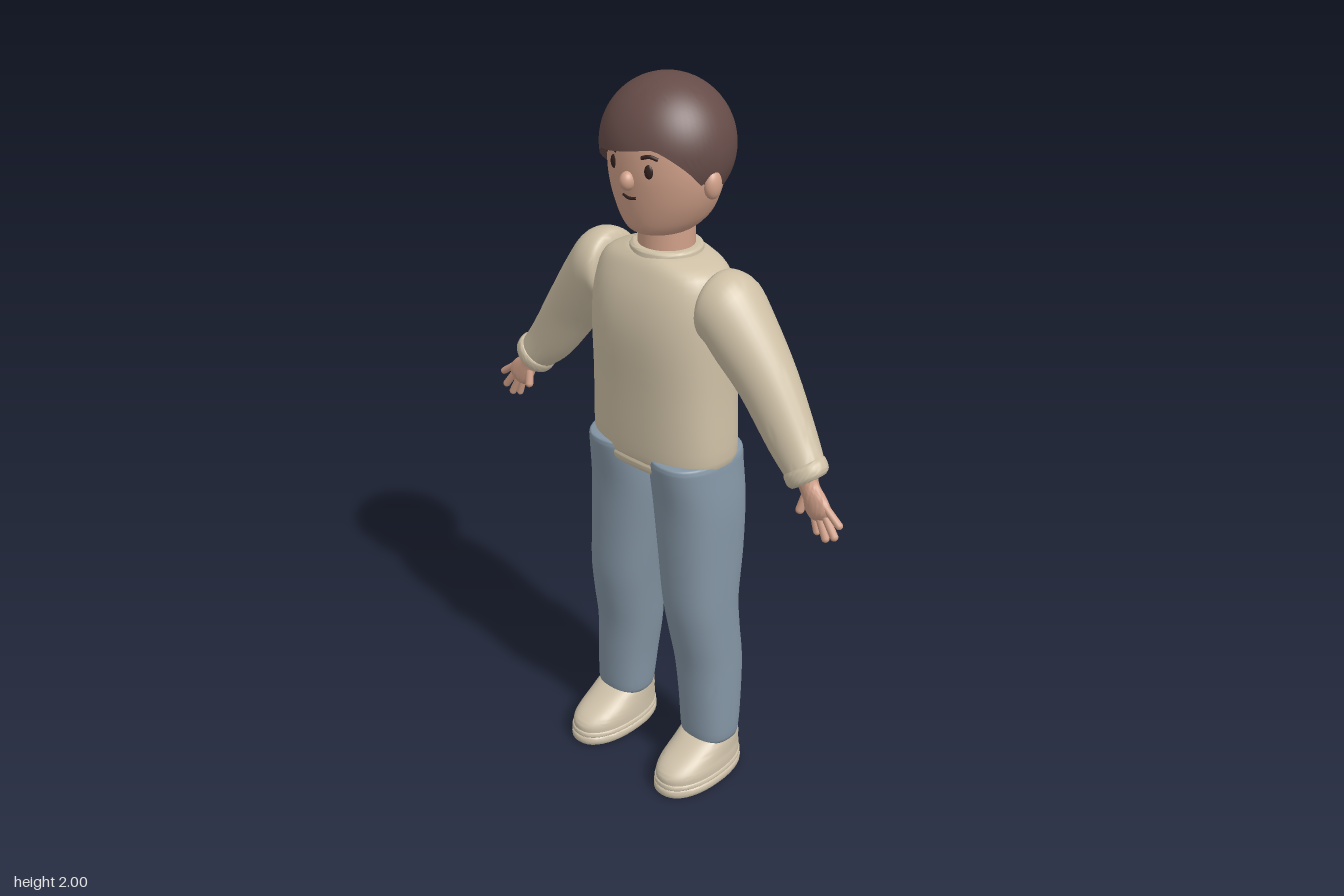
import * as THREE from 'three';
import { mergeVertices, toCreasedNormals } from 'three/addons/utils/BufferGeometryUtils.js';

const mat = (name, color) => {
  const m = new THREE.MeshStandardMaterial({ color });
  m.name = name;
  return m;
};

// Catmull-Rom resampling of cross-section rows, column by column
function resample(rows, steps) {
  const out = [], at = (i) => rows[Math.min(Math.max(i, 0), rows.length - 1)];
  for (let i = 0; i < rows.length - 1; i++) {
    for (let s = 0; s < steps; s++) {
      const t = s / steps, a = at(i - 1), b = at(i), c = at(i + 1), d = at(i + 2);
      out.push(b.map((p, k) => p + 0.5 * t * (c[k] - a[k] + t * (2 * a[k] - 5 * p + 4 * c[k] - d[k]
        + t * (3 * (p - c[k]) + d[k] - a[k])))));
    }
  }
  out.push(rows[rows.length - 1]);
  return out;
}

// Closed skin over rings [cx, cy, cz, ux, uy, vz]; power below 1 squares the ring
function loft(rows, power = 1, steps = 4, n = 40) {
  const rings = resample(rows, steps), pos = [], idx = [];
  const bend = (v) => Math.sign(v) * Math.abs(v) ** power;
  for (const [cx, cy, cz, ux, uy, vz] of rings) {
    for (let j = 0; j < n; j++) {
      const a = (j / n) * Math.PI * 2, c = bend(Math.cos(a)), s = bend(Math.sin(a));
      pos.push(cx + ux * c, cy + uy * c, cz + vz * s);
    }
  }
  const last = rings.length - 1, c0 = pos.length / 3;
  pos.push(...rings[0].slice(0, 3), ...rings[last].slice(0, 3));
  for (let j = 0; j < n; j++) {
    const k = (j + 1) % n;
    for (let i = 0; i < last; i++) {
      const a = i * n + j, b = i * n + k;
      idx.push(a, a + n, b, b, a + n, b + n);
    }
    idx.push(c0, j, k, c0 + 1, last * n + k, last * n + j);
  }
  const g = new THREE.BufferGeometry();
  g.setAttribute('position', new THREE.Float32BufferAttribute(pos, 3));
  g.setIndex(idx);
  return toCreasedNormals(g, 0.75);
}

// Upright rows [y, xCentre, xRadius, zFront, zBack]
const upright = (rows, power, steps) =>
  loft(rows.map(([y, x, rx, zf, zb]) => [x, y, (zf + zb) / 2, rx, 0, (zf - zb) / 2]), power, steps);

// Sleeve rows [upperX, upperY, lowerX, lowerY, zCentre, zRadius]
const sleeve = (rows, steps) => loft(rows.map(([ax, ay, bx, by, z, r]) =>
  [(ax + bx) / 2, (ay + by) / 2, z, (ax - bx) / 2, (ay - by) / 2, -r]), 1, steps);

// Hair dome whose lower edge rises to a slanted fringe at the front
function hairGeometry() {
  const g = new THREE.SphereGeometry(1, 64, 26), p = g.attributes.position, cols = 65;
  for (let i = 0; i < p.count; i++) {
    const row = Math.floor(i / cols), a = ((i % cols) / 64) * Math.PI * 2;
    const c = Math.cos(a), s = Math.sin(a), front = Math.max(c, 0);
    const edge = -0.12 + 0.135 * Math.min(front * 1.15, 1) + 0.035 * s * front;
    const theta = Math.acos(edge / 0.17) * Math.min(row / 24, 1);
    const r = row === 25 ? 0.9 : row === 26 ? 0.8 : 1;
    p.setXYZ(i, 0.172 * r * Math.sin(theta) * s, 0.17 * Math.cos(theta), 0.165 * r * Math.sin(theta) * c);
  }
  g.deleteAttribute('uv');
  g.deleteAttribute('normal');
  return toCreasedNormals(mergeVertices(g), 0.9);
}

export function createModel() {
  const model = new THREE.Group();
  const skin = mat('skin', 0xcf9f88), hairMat = mat('hair', 0x664c48), shirt = mat('shirt', 0xcdbfa5);
  const denim = mat('denim', 0x8394a3), shoeMat = mat('shoe', 0xcfc2aa), dark = mat('dark features', 0x33211e);
  hairMat.side = THREE.DoubleSide;

  const add = (name, geo, material, parent = model) => {
    const m = new THREE.Mesh(geo, material);
    m.name = name;
    parent.add(m);
    return m;
  };
  const blob = (name, material, p, s, parent = model) => {
    const m = add(name, new THREE.SphereGeometry(1, 24, 16), material, parent);
    m.position.set(...p);
    m.scale.set(...s);
    return m;
  };
  const tube = (name, material, pts, r, parent = model) => add(name, new THREE.TubeGeometry(
    new THREE.CatmullRomCurve3(pts.map((q) => new THREE.Vector3(...q))), 12, r, 8), material, parent);

  // Head, hair and neck
  add('head', upright([
    [1.618, 0, 0.05, 0.07, -0.06], [1.632, 0, 0.085, 0.095, -0.09], [1.67, 0, 0.12, 0.108, -0.125],
    [1.73, 0, 0.147, 0.117, -0.14], [1.8, 0, 0.157, 0.121, -0.155], [1.88, 0, 0.145, 0.11, -0.15],
    [1.95, 0, 0.09, 0.06, -0.1]]), skin);
  add('hair', hairGeometry(), hairMat).position.set(-0.004, 1.83, -0.022);
  add('neck', upright([[1.52, 0, 0.076, 0.06, -0.088], [1.58, 0, 0.074, 0.058, -0.086],
    [1.66, 0, 0.072, 0.055, -0.084]]), skin);

  // Face
  blob('nose', skin, [0, 1.768, 0.123], [0.019, 0.024, 0.021]);
  tube('mouth', dark, [[-0.022, 1.727, 0.114], [0, 1.723, 0.117], [0.022, 1.727, 0.114]], 0.004);
  for (const s of [-1, 1]) {
    blob('eye', dark, [s * 0.058, 1.8, 0.109], [0.012, 0.018, 0.007]).rotation.y = s * 0.25;
    const y = s > 0 ? 1.832 : 1.828;
    tube('eyebrow', dark, [[s * 0.04, y, 0.115], [s * 0.06, y + 0.006, 0.109], [s * 0.08, y, 0.099]], 0.005);
    blob('ear', skin, [s * 0.155, 1.762, -0.01], [0.019, 0.036, 0.026]);
  }

  // Sweater body, collar and hem
  add('sweater', upright([
    [1.0, 0, 0.2, 0.115, -0.135], [1.03, 0, 0.214, 0.121, -0.14], [1.2, 0, 0.207, 0.128, -0.145],
    [1.36, 0, 0.204, 0.136, -0.152], [1.46, 0, 0.197, 0.124, -0.14], [1.53, 0, 0.175, 0.098, -0.12],
    [1.56, 0, 0.11, 0.078, -0.106], [1.566, 0, 0.08, 0.065, -0.09]], 0.8), shirt);
  add('collar', upright([[1.545, 0, 0.092, 0.074, -0.103], [1.562, 0, 0.097, 0.078, -0.107],
    [1.575, 0, 0.092, 0.073, -0.102], [1.577, 0, 0.076, 0.06, -0.088]]), shirt);
  add('hem', upright([[0.975, 0, 0.18, 0.108, -0.126], [0.981, 0, 0.188, 0.117, -0.136],
    [1.0, 0, 0.192, 0.12, -0.139], [1.012, 0, 0.188, 0.115, -0.134]], 0.8), shirt);

  // Limbs, built on the +x side and mirrored
  for (const s of [1, -1]) {
    const side = s > 0 ? 'left' : 'right';
    const arm = new THREE.Group(), leg = new THREE.Group();
    arm.name = side + 'Arm';
    leg.name = side + 'Leg';
    arm.scale.x = leg.scale.x = s;
    model.add(arm, leg);

    add('sleeve', sleeve([
      [0.176, 1.53, 0.168, 1.43, -0.01, 0.06], [0.196, 1.556, 0.17, 1.375, -0.008, 0.09],
      [0.26, 1.542, 0.19, 1.355, -0.01, 0.097], [0.325, 1.465, 0.215, 1.32, -0.013, 0.09],
      [0.41, 1.34, 0.28, 1.25, -0.016, 0.075], [0.485, 1.215, 0.375, 1.135, -0.01, 0.06],
      [0.527, 1.15, 0.435, 1.085, 0, 0.05]]), shirt, arm);
    add('cuff', sleeve([
      [0.519, 1.16, 0.436, 1.096, 0, 0.045], [0.53, 1.157, 0.433, 1.086, 0.002, 0.053],
      [0.544, 1.137, 0.446, 1.066, 0.004, 0.052], [0.541, 1.121, 0.459, 1.06, 0.005, 0.043]]), shirt, arm);
    add('palm', sleeve([
      [0.522, 1.115, 0.474, 1.077, 0.008, 0.027], [0.533, 1.092, 0.488, 1.058, 0.012, 0.022],
      [0.563, 1.07, 0.5, 1.027, 0.017, 0.019], [0.583, 1.043, 0.522, 1.004, 0.02, 0.016],
      [0.576, 1.022, 0.54, 1.0, 0.02, 0.008]]), skin, arm);

    // Fingers and thumb as [base, tip, radius]
    for (const [a, b, r] of [
      [[0.568, 1.048, 0.02], [0.612, 1.016, 0.022], 0.01],
      [[0.563, 1.03, 0.02], [0.601, 0.98, 0.024], 0.0105],
      [[0.548, 1.018, 0.02], [0.575, 0.965, 0.024], 0.0105],
      [[0.532, 1.015, 0.02], [0.546, 0.972, 0.022], 0.0095],
      [[0.503, 1.055, 0.02], [0.496, 1.018, 0.03], 0.0115]]) {
      const p = new THREE.Vector3(...a), q = new THREE.Vector3(...b), d = q.clone().sub(p);
      const f = add('finger', new THREE.CapsuleGeometry(r, d.length(), 6, 12), skin, arm);
      f.position.copy(p).add(q).multiplyScalar(0.5);
      f.quaternion.setFromUnitVectors(new THREE.Vector3(0, 1, 0), d.normalize());
    }

    // Trouser leg
    add('trouserLeg', upright([
      [0.125, 0.165, 0.07, 0.045, -0.082], [0.14, 0.167, 0.08, 0.056, -0.092],
      [0.25, 0.162, 0.084, 0.06, -0.106], [0.37, 0.153, 0.089, 0.066, -0.115],
      [0.48, 0.146, 0.093, 0.084, -0.107], [0.58, 0.139, 0.098, 0.097, -0.105],
      [0.72, 0.128, 0.106, 0.1, -0.128], [0.87, 0.117, 0.112, 0.105, -0.142],
      [0.98, 0.112, 0.103, 0.122, -0.146], [1.018, 0.113, 0.096, 0.126, -0.145],
      [1.025, 0.113, 0.085, 0.115, -0.132]], 0.85), denim, leg);

    // Shoe with a two-layer sole
    add('sole', upright([[0, 0.169, 0.078, 0.178, -0.113], [0.005, 0.169, 0.084, 0.185, -0.119],
      [0.024, 0.169, 0.084, 0.185, -0.119], [0.028, 0.169, 0.08, 0.181, -0.115]], 0.9, 2), shoeMat, leg);
    add('welt', upright([[0.027, 0.169, 0.08, 0.181, -0.115], [0.031, 0.169, 0.084, 0.184, -0.118],
      [0.04, 0.169, 0.083, 0.183, -0.117], [0.044, 0.169, 0.078, 0.178, -0.112]], 0.9, 2), shoeMat, leg);
    add('shoeUpper', upright([[0.04, 0.169, 0.08, 0.179, -0.114], [0.062, 0.169, 0.08, 0.177, -0.114],
      [0.082, 0.168, 0.078, 0.156, -0.112], [0.108, 0.168, 0.076, 0.108, -0.109],
      [0.132, 0.167, 0.073, 0.066, -0.102], [0.14, 0.167, 0.064, 0.05, -0.09]], 0.9), shoeMat, leg);
  }
  return model;
}
